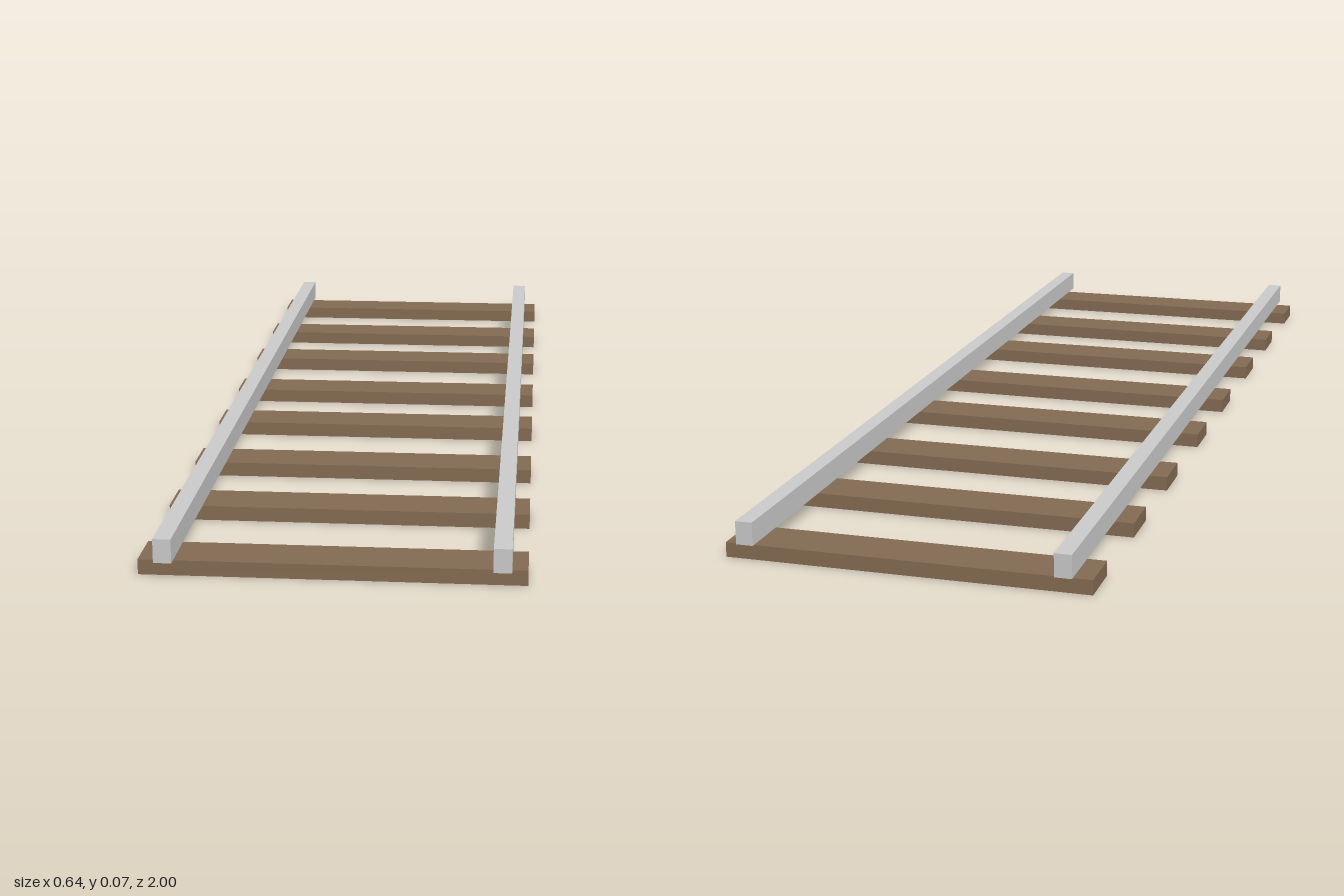
import * as THREE from 'three';

export function createModel() {
  const track = new THREE.Group();
  track.name = 'railTrack';

  const steel = new THREE.MeshStandardMaterial({ color: 0xcccccc });
  const wood = new THREE.MeshStandardMaterial({ color: 0x846b52 });

  const addBox = (name, material, size, position) => {
    const mesh = new THREE.Mesh(new THREE.BoxGeometry(...size), material);
    mesh.name = name;
    mesh.position.set(...position);
    track.add(mesh);
  };

  // Wooden sleepers, slightly unevenly spaced along the track
  const sleeperZ = [-0.941, -0.667, -0.408, -0.132, 0.122, 0.397, 0.654, 0.93];
  sleeperZ.forEach((z, i) =>
    addBox(`sleeper${i + 1}`, wood, [0.638, 0.026, 0.089], [0, 0.013, z]));

  // Steel rails, held just above the sleepers
  addBox('leftRail', steel, [0.03, 0.041, 2], [0.278, 0.0505, 0]);
  addBox('rightRail', steel, [0.03, 0.041, 2], [-0.273, 0.0505, 0]);

  return track;
}
